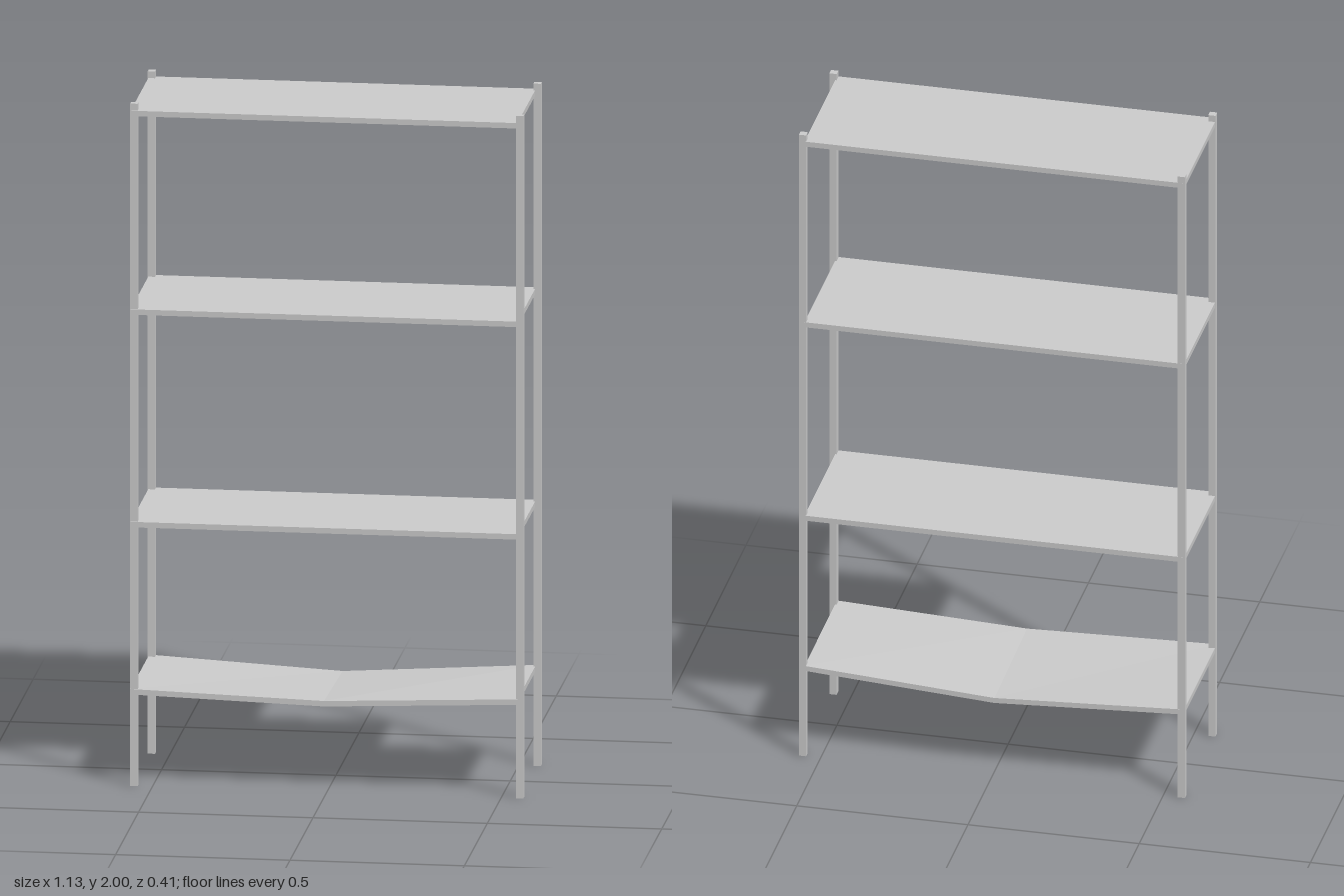
import * as THREE from 'three';

const grey = new THREE.MeshStandardMaterial({ color: 0xcccccc, flatShading: true });
const POST = 0.021;
const SHELF = { x0: -0.562, x1: 0.547, depth: 0.406, thick: 0.016 };

// Shelf board with a centre fold; dip(x, z) lowers or raises its vertices
function makeShelf(name, y, dip) {
  const width = SHELF.x1 - SHELF.x0;
  const geo = new THREE.BoxGeometry(width, SHELF.thick, SHELF.depth, dip ? 2 : 1, 1, 1);
  if (dip) {
    const p = geo.attributes.position;
    for (let i = 0; i < p.count; i++) p.setY(i, p.getY(i) + dip(p.getX(i), p.getZ(i)));
    geo.computeVertexNormals();
  }
  const mesh = new THREE.Mesh(geo, grey);
  mesh.name = name;
  mesh.position.set((SHELF.x0 + SHELF.x1) / 2, y, 0);
  return mesh;
}

export function createModel() {
  const model = new THREE.Group();
  model.name = 'shelvingUnit';

  // Four square corner posts
  for (const sx of [1, -1]) {
    for (const sz of [1, -1]) {
      const post = new THREE.Mesh(new THREE.BoxGeometry(POST, 2, POST), grey);
      post.name = (sz > 0 ? 'front' : 'back') + (sx > 0 ? 'Left' : 'Right') + 'Post';
      post.position.set(sx * 0.553, 1, sz > 0 ? 0.189 : -0.192);
      model.add(post);
    }
  }

  // Flat shelves
  model.add(makeShelf('topShelf', 1.972, null));
  model.add(makeShelf('upperShelf', 1.39, null));
  model.add(makeShelf('lowerShelf', 0.767, null));

  // Bottom shelf sags in the middle, more towards the back
  model.add(makeShelf('saggingBottomShelf', 0.28, (x, z) => {
    if (Math.abs(x) > 0.1) return x > 0 ? 0.003 : -0.003;
    return z > 0 ? -0.02 : -0.033;
  }));

  return model;
}
